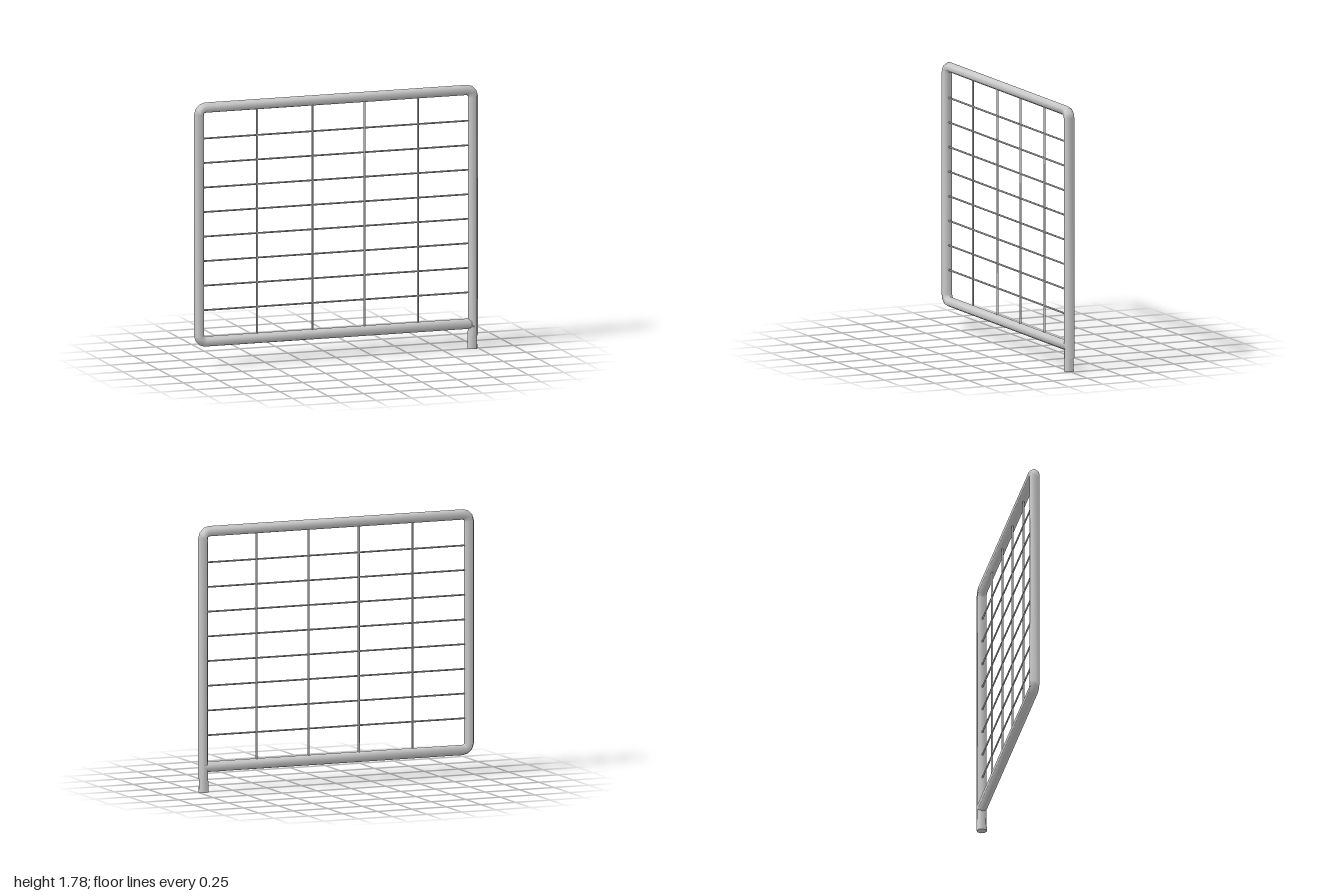
import * as THREE from 'three';

const material = new THREE.MeshStandardMaterial({ color: 0xcccccc });

// Sweeps a polygonal ring along a path in the xy plane; one vertex row faces outward.
function sweepTube(path, radius, sides) {
  const positions = [];
  const index = [];
  path.forEach((p, i) => {
    const before = path[Math.max(i - 1, 0)];
    const after = path[Math.min(i + 1, path.length - 1)];
    const inward = p.clone().sub(before).normalize();
    const outward = after.clone().sub(p).normalize();
    const t = inward.add(outward).normalize();
    for (let s = 0; s < sides; s++) {
      const a = (s / sides) * Math.PI * 2;
      const c = Math.cos(a) * radius;
      positions.push(p.x - t.y * c, p.y + t.x * c, Math.sin(a) * radius);
      if (i === path.length - 1) continue;
      const a0 = i * sides + s;
      const a1 = i * sides + ((s + 1) % sides);
      index.push(a0, a1, a0 + sides, a1, a1 + sides, a0 + sides);
    }
  });
  const geometry = new THREE.BufferGeometry();
  geometry.setAttribute('position', new THREE.Float32BufferAttribute(positions, 3));
  geometry.setIndex(index);
  geometry.computeVertexNormals();
  return geometry;
}

export function createModel() {
  const group = new THREE.Group();
  const add = (name, geometry, x = 0, y = 0) => {
    const mesh = new THREE.Mesh(geometry, material);
    mesh.name = name;
    mesh.position.set(x, y, 0);
    group.add(mesh);
    return mesh;
  };

  const side = 0.964, top = 1.748, bottom = 0.168, bend = 0.045;

  // Outer frame: up the left post, across the top, down and back along the bottom
  const path = [new THREE.Vector2(side, 0.09)];
  const corner = (cx, cy, startAngle) => {
    for (let i = 0; i <= 3; i++) {
      const a = startAngle + (i / 3) * Math.PI / 2;
      path.push(new THREE.Vector2(cx + Math.cos(a) * bend, cy + Math.sin(a) * bend));
    }
  };
  corner(side - bend, top - bend, 0);
  corner(-side + bend, top - bend, Math.PI / 2);
  corner(-side + bend, bottom + bend, Math.PI);
  path.push(new THREE.Vector2(side, bottom));
  add('frame', sweepTube(path, 0.035, 6));

  // Short foot below the left post
  add('foot', new THREE.CylinderGeometry(0.032, 0.035, 0.14, 8), 0.96, 0.07);

  // Upright wires
  const uprightHeight = top - bottom;
  for (const x of [-0.555, -0.165, 0.2, 0.577]) {
    add('uprightWire', new THREE.CylinderGeometry(0.007, 0.007, uprightHeight, 6, 1, true), x, bottom + uprightHeight / 2);
  }

  // Evenly spaced cross wires
  for (let i = 0; i < 8; i++) {
    const wire = add('crossWire', new THREE.CylinderGeometry(0.006, 0.006, side * 2, 6, 1, true), 0, 0.38 + i * 0.1657);
    wire.rotation.z = Math.PI / 2;
  }

  return group;
}
